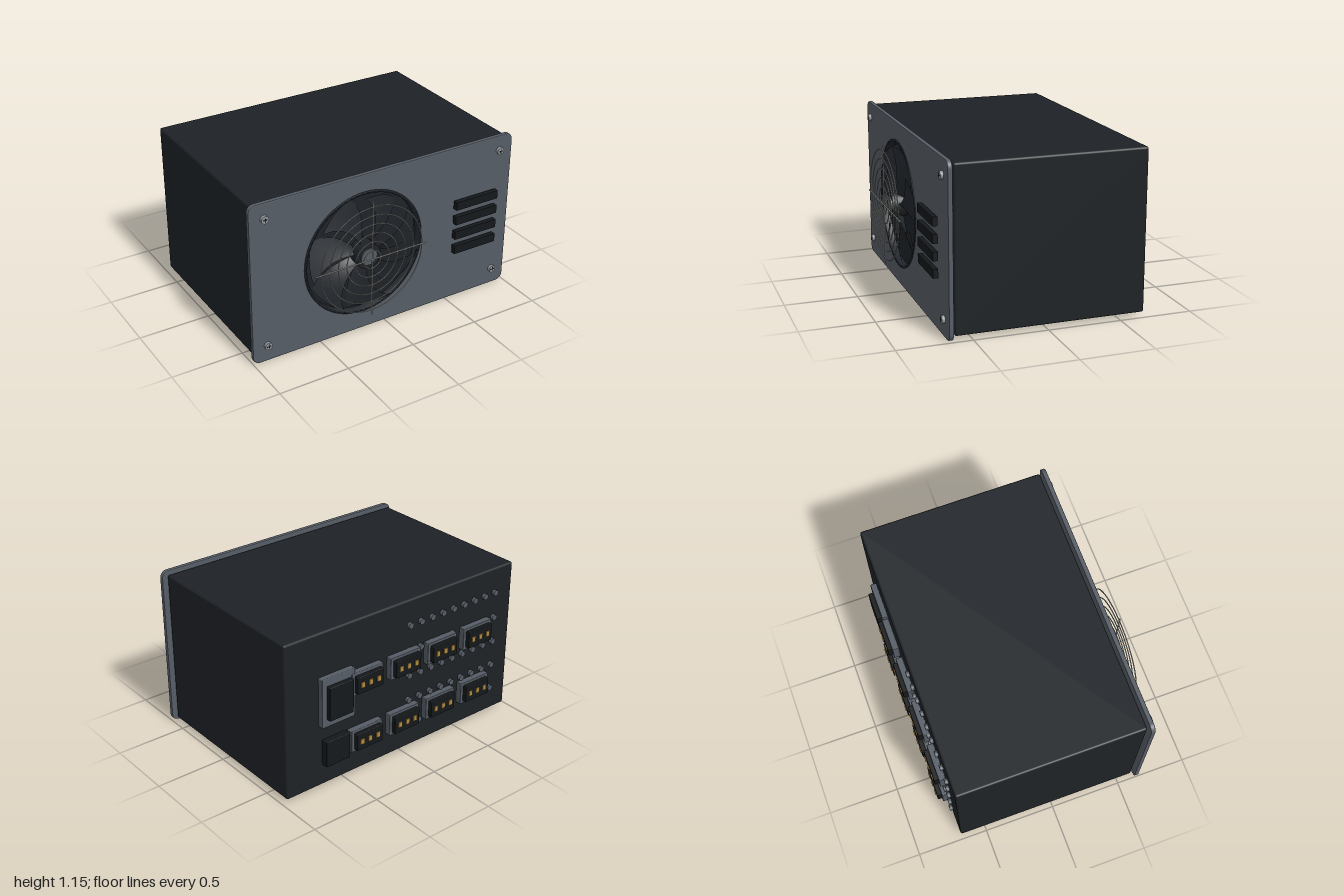
import * as THREE from 'three';
import { RoundedBoxGeometry } from 'three/addons/geometries/RoundedBoxGeometry.js';

const mat = (color, side = THREE.FrontSide) => new THREE.MeshStandardMaterial({ color, side });
const black = mat(0x1e2226);
const dark = mat(0x15181b);
const steel = mat(0x565d66);
const light = mat(0x8f959b);
const wire = mat(0xa3a3a0);
const gold = mat(0xb08a3c);
const bladeMat = mat(0x23282e, THREE.DoubleSide);

function add(parent, name, geometry, material, x = 0, y = 0, z = 0) {
  const mesh = new THREE.Mesh(geometry, material);
  mesh.name = name;
  mesh.position.set(x, y, z);
  parent.add(mesh);
  return mesh;
}

function group(parent, name, x = 0, y = 0, z = 0) {
  const g = new THREE.Group();
  g.name = name;
  g.position.set(x, y, z);
  parent.add(g);
  return g;
}

const box = (w, h, d, r = 0.005) => new RoundedBoxGeometry(w, h, d, 2, r);
// Cylinder whose axis runs along z
const disc = (r, depth, sides = 32) => new THREE.CylinderGeometry(r, r, depth, sides).rotateX(Math.PI / 2);

function roundedRect(w, h, r) {
  const s = new THREE.Shape();
  const x = w / 2 - r, y = h / 2 - r;
  s.absarc(x, y, r, 0, Math.PI / 2);
  s.absarc(-x, y, r, Math.PI / 2, Math.PI);
  s.absarc(-x, -y, r, Math.PI, Math.PI * 1.5);
  s.absarc(x, -y, r, Math.PI * 1.5, Math.PI * 2);
  s.closePath();
  return s;
}

// Twisted, swept fan blade mapped from a plane onto a polar sector
function bladeGeometry(inner, outer) {
  const g = new THREE.PlaneGeometry(1, 1, 8, 6);
  const p = g.attributes.position;
  for (let i = 0; i < p.count; i++) {
    const u = p.getX(i), v = p.getY(i) + 0.5;
    const r = inner + (outer - inner) * v;
    const a = u * (0.5 + 0.2 * v) + 0.35 * v * v;
    p.setXYZ(i, r * Math.cos(a), r * Math.sin(a), u * (0.05 + 0.018 * v));
  }
  g.computeVertexNormals();
  return g;
}

const FAN = { x: -0.17, y: 0.58 };

function buildFrontPlate(model) {
  const shape = roundedRect(1.988, 1.141, 0.045);
  const hole = new THREE.Path();
  hole.absarc(FAN.x, FAN.y - 0.5765, 0.452, 0, Math.PI * 2, true);
  shape.holes.push(hole);
  const geo = new THREE.ExtrudeGeometry(shape, {
    depth: 0.02, bevelSize: 0.006, bevelThickness: 0.006, bevelSegments: 2, curveSegments: 32,
  });
  add(model, 'frontPlate', geo, steel, 0, 0.5765, 0.631);

  // Cross-head corner screws
  for (const x of [-0.895, 0.895]) for (const y of [0.12, 1.045]) {
    const screw = group(model, 'screw', x, y, 0.667);
    add(screw, 'screwHead', disc(0.026, 0.022, 20), light);
    add(screw, 'screwSlot', new THREE.BoxGeometry(0.03, 0.006, 0.003), dark, 0, 0, 0.011);
    add(screw, 'screwSlot', new THREE.BoxGeometry(0.006, 0.03, 0.003), dark, 0, 0, 0.011);
  }

  // Vent bars
  for (let i = 0; i < 4; i++) {
    add(model, 'ventBar', new THREE.BoxGeometry(0.34, 0.06, 0.034), dark, 0.69, 0.41 + i * 0.112, 0.698);
  }
}

function buildFan(model) {
  const fan = group(model, 'fan', FAN.x, FAN.y, 0);

  const rim = [[0.43, 0.608], [0.448, 0.608], [0.448, 0.66], [0.43, 0.66], [0.43, 0.608]]
    .map(([r, z]) => new THREE.Vector2(r, z));
  add(fan, 'fanShroud', new THREE.LatheGeometry(rim, 64).rotateX(Math.PI / 2), bladeMat);

  const blade = bladeGeometry(0.08, 0.41);
  for (let i = 0; i < 7; i++) {
    add(fan, 'fanBlade', blade, bladeMat, 0, 0, 0.651).rotation.z = (i / 7) * Math.PI * 2;
  }

  add(fan, 'fanHub', disc(0.09, 0.1), black, 0, 0, 0.662);
  add(fan, 'hubCap', disc(0.06, 0.01), steel, 0, 0, 0.716);

  // Wire guard: concentric rings and a cross
  const guard = group(fan, 'fanGuard', 0, 0, 0.756);
  for (let i = 1; i <= 6; i++) {
    add(guard, 'guardRing', new THREE.TorusGeometry(0.0642 * i, 0.004, 6, 64), wire);
  }
  const spoke = new THREE.CylinderGeometry(0.005, 0.005, 0.845, 8);
  add(guard, 'guardSpoke', spoke, wire);
  add(guard, 'guardSpoke', spoke, wire).rotation.z = Math.PI / 2;
}

function buildBack(model) {
  // Two rows of four sockets with three contacts each
  for (const y of [0.285, 0.705]) {
    for (let i = 0; i < 4; i++) {
      const socket = group(model, 'outputSocket', -0.618 + i * 0.323, y, 0);
      add(socket, 'socketFrame', box(0.258, 0.16, 0.046), steel, 0, 0, -0.702);
      add(socket, 'socketBody', box(0.215, 0.122, 0.035), dark, 0, 0, -0.738);
      for (const x of [-0.066, 0, 0.066]) {
        add(socket, 'contact', new THREE.BoxGeometry(0.03, 0.038, 0.012), gold, x, 0, -0.756);
      }
    }
  }

  // Mains inlet and power switch
  const inlet = group(model, 'powerInlet', 0.582, 0.65, 0);
  add(inlet, 'inletFrame', box(0.264, 0.35, 0.043), steel, 0, 0, -0.6985);
  add(inlet, 'inletBody', box(0.192, 0.24, 0.035), dark, 0, 0, -0.735);
  add(model, 'powerSwitch', box(0.195, 0.187, 0.05), dark, 0.59, 0.273, -0.702);

  // Grid of vent studs
  const stud = disc(0.021, 0.022, 14);
  for (let row = 0; row < 5; row++) for (let col = 0; col < 9; col++) {
    add(model, 'ventStud', stud, steel, -0.805 + col * 0.0962, 0.21 + row * 0.185, -0.69);
  }
}

export function createModel() {
  const model = new THREE.Group();
  model.name = 'powerSupplyUnit';
  add(model, 'housing', box(1.94, 1.106, 1.291, 0.015), black, 0, 0.578, -0.0335);
  buildFrontPlate(model);
  buildFan(model);
  buildBack(model);
  return model;
}
